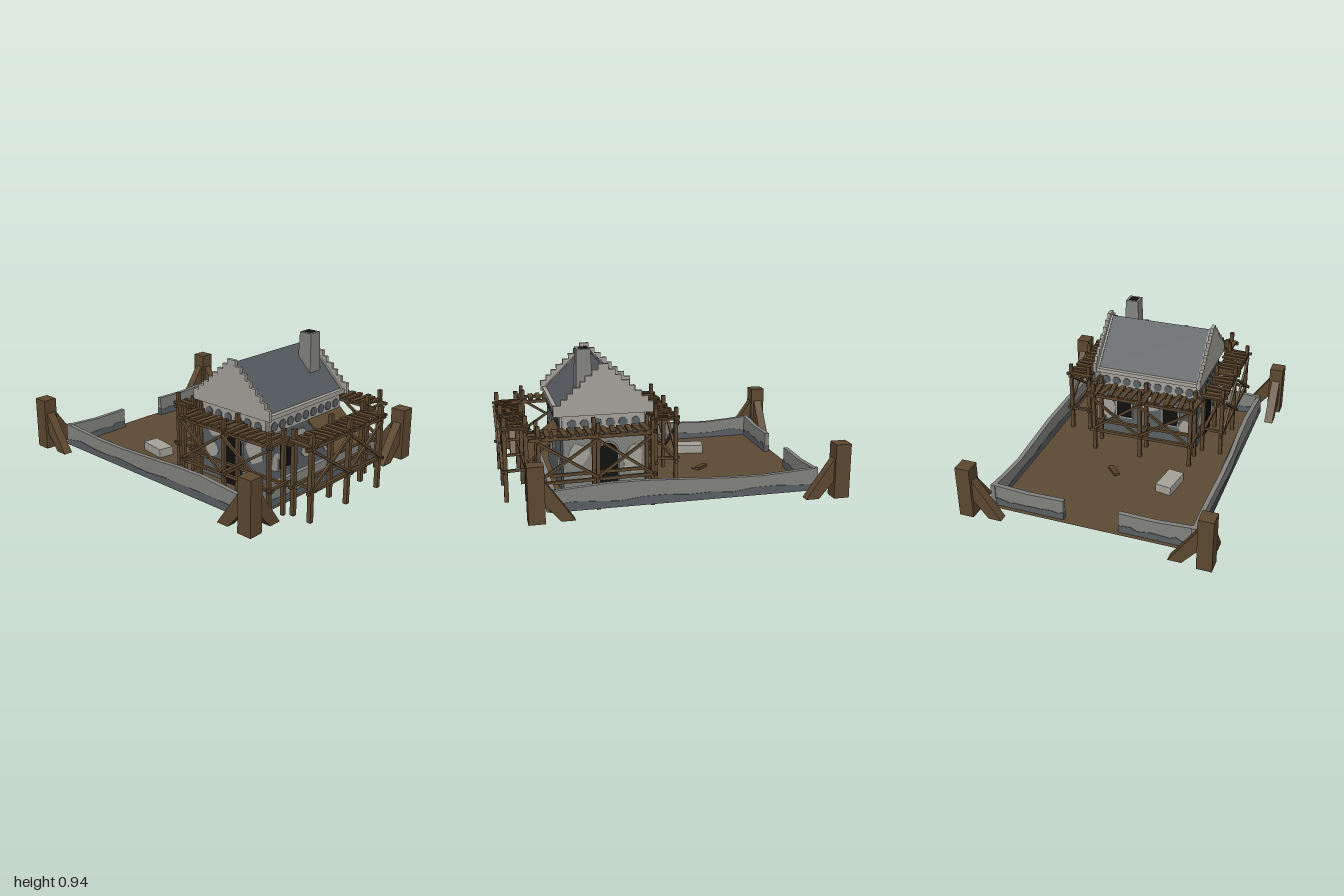
import * as THREE from 'three';

const mat = (name, color, side = THREE.FrontSide) => {
  const m = new THREE.MeshStandardMaterial({ color, side });
  m.name = name;
  return m;
};

export function createModel() {
  const root = new THREE.Group();
  const pale = mat('pale stone', 0xa6a39a), grey = mat('grey stone', 0x83847f);
  const slate = mat('dark stone', 0x5b6064), roofMat = mat('roof slate', 0x53585c);
  const timber = mat('timber', 0x5c4830), plankMat = mat('plank wood', 0x57432b);
  const earth = mat('earth', 0x5d4b34, THREE.DoubleSide), black = mat('dark opening', 0x100f0e);

  let seed = 7;
  const rnd = () => ((seed = (seed * 16807) % 2147483647) / 2147483647) - 0.5;
  const group = (name, parent = root) => {
    const g = new THREE.Group();
    g.name = name;
    parent.add(g);
    return g;
  };
  const add = (parent, name, geo, m, x = 0, y = 0, z = 0) => {
    const mesh = new THREE.Mesh(geo, m);
    mesh.name = name;
    mesh.position.set(x, y, z);
    parent.add(mesh);
    return mesh;
  };
  const box = (parent, name, m, w, h, d, x, y, z) => add(parent, name, new THREE.BoxGeometry(w, h, d), m, x, y, z);
  // Square beam running from a to b in the parent's own frame
  const beam = (parent, name, a, b, w, m = timber) => {
    const p = new THREE.Vector3(...a), q = new THREE.Vector3(...b), len = p.distanceTo(q);
    const up = Math.abs(q.y - p.y) > len * 0.9 ? new THREE.Vector3(0, 0, 1) : new THREE.Vector3(0, 1, 0);
    const mesh = box(parent, name, m, w, w, len, 0, 0, 0);
    mesh.position.copy(p).add(q).multiplyScalar(0.5);
    mesh.quaternion.setFromRotationMatrix(new THREE.Matrix4().lookAt(q, p, up));
  };
  const extrude = (pts, depth) => {
    const s = new THREE.Shape(pts.map(p => new THREE.Vector2(...p)));
    return new THREE.ExtrudeGeometry(s, { depth, bevelEnabled: false }).translate(0, 0, -depth / 2);
  };

  // Ground
  const base = 0.091;
  const ground = add(root, 'ground', new THREE.PlaneGeometry(1.65, 1.25), earth, -0.055, base - 0.002, 0);
  ground.rotation.x = -Math.PI / 2;

  // Yard walls: dark lower course with an uneven edge, lighter upper course, gently bent in plan
  function yardWall(name, top, x, z, turned) {
    const g = group(name);
    const a = top[0][0], b = top[top.length - 1][0], n = 12;
    const seam = [];
    for (let i = 0; i <= n; i++) seam.push([a + (b - a) * i / n, 0.134 + rnd() * 0.024]);
    const lower = extrude([[a, base], [b, base], ...[...seam].reverse()], 0.034);
    const upper = extrude([...seam, ...[...top].reverse()], 0.028);
    if (!turned) {
      for (const geo of [lower, upper]) {
        const p = geo.attributes.position;
        for (let i = 0; i < p.count; i++) p.setZ(i, p.getZ(i) + Math.sign(z) * 0.006 * Math.cos((p.getX(i) + 0.1) * 6.6));
      }
    }
    add(g, 'lowerCourse', lower, slate);
    add(g, 'upperCourse', upper, grey);
    g.position.set(x, 0, z);
    if (turned) g.rotation.y = -Math.PI / 2;
  }
  const wavy = [[-0.86, 0.23], [-0.7, 0.217], [-0.52, 0.206], [-0.3, 0.212], [-0.05, 0.226], [0.2, 0.236], [0.4, 0.236], [0.6, 0.225], [0.75, 0.215]];
  yardWall('frontWall', wavy, 0, 0.62);
  yardWall('backWall', wavy, 0, -0.62);
  yardWall('rightWall', [[-0.63, 0.225], [-0.3, 0.232], [0, 0.228], [0.3, 0.232], [0.63, 0.225]], 0.735, 0, true);
  yardWall('gateWallFront', [[0.17, 0.22], [0.4, 0.215], [0.63, 0.23]], -0.84, 0, true);
  yardWall('gateWallBack', [[-0.63, 0.23], [-0.4, 0.215], [-0.17, 0.22]], -0.84, 0, true);

  // Corner posts with two braces each, pointing inwards
  for (const [x, z] of [[-0.953, 0.722], [0.855, 0.722], [-0.953, -0.73], [0.84, -0.73]]) {
    const g = group('cornerPost');
    g.position.set(x, 0, z);
    box(g, 'post', timber, 0.094, 0.33, 0.09, 0, 0.245, 0);
    const sx = -Math.sign(x), sz = -Math.sign(z);
    for (const angle of [sx > 0 ? 0 : Math.PI, sz > 0 ? -Math.PI / 2 : Math.PI / 2]) {
      const brace = add(g, 'brace', extrude([[0.04, 0.19], [0.135, 0.08], [0.215, 0.08], [0.04, 0.33]], 0.056), timber);
      brace.rotation.y = angle;
    }
  }

  // House body
  const house = group('house');
  house.position.set(0.385, 0, 0.008);
  box(house, 'lowerWalls', slate, 0.52, 0.383, 0.67, 0, 0.2835, 0);
  box(house, 'upperBand', pale, 0.5, 0.1, 0.685, 0, 0.523, 0);
  box(house, 'upperBandSides', pale, 0.525, 0.1, 0.66, 0, 0.523, 0);
  box(house, 'rearButtress', grey, 0.5, 0.33, 0.03, 0, 0.257, -0.345);

  // Details of one face: patches, openings, row of scallops
  const arch = (w, h) => {
    const s = new THREE.Shape();
    s.moveTo(-w / 2, 0);
    s.lineTo(w / 2, 0);
    s.lineTo(w / 2, h - w / 2);
    s.absarc(0, h - w / 2, w / 2, 0, Math.PI);
    s.closePath();
    return new THREE.ExtrudeGeometry(s, { depth: 0.006, bevelEnabled: false, curveSegments: 8 });
  };
  function face(name, angle, dist, upper, width, openings, patches) {
    const g = group(name, house);
    g.rotation.y = angle;
    for (const [x, y, w, h] of patches) {
      const pts = [];
      for (let i = 0; i < 10; i++) {
        const t = i / 10 * Math.PI * 2;
        pts.push([x + Math.cos(t) * w * (0.5 + rnd() * 0.2), y + Math.sin(t) * h * (0.5 + rnd() * 0.2)]);
      }
      add(g, 'plasterPatch', extrude(pts, 0.006), pale, 0, 0, dist + 0.002);
    }
    for (const [x, y, w, h, square] of openings) {
      if (square) {
        box(g, 'frame', pale, w + 0.02, h + 0.02, 0.008, x, y + h / 2, dist + 0.004);
        box(g, 'opening', black, w, h, 0.008, x, y + h / 2, dist + 0.008);
      } else {
        add(g, 'archFrame', arch(w + 0.02, h + 0.01), grey, x, y, dist + 0.002);
        add(g, 'archOpening', arch(w, h), black, x, y, dist + 0.006);
      }
    }
    const n = Math.round(width / 0.075);
    for (let i = 0; i < n; i++) {
      const disc = add(g, 'scallop', new THREE.CylinderGeometry(0.028, 0.028, 0.008, 10), slate, (i + 0.5 - n / 2) * width / n, 0.511, upper + 0.001);
      disc.rotation.x = Math.PI / 2;
    }
  }
  face('frontFace', 0, 0.335, 0.3425, 0.46, [[0.01, base, 0.115, 0.325]],
    [[-0.15, 0.41, 0.14, 0.1], [-0.17, 0.27, 0.1, 0.1], [0.17, 0.36, 0.13, 0.19], [0.12, 0.19, 0.1, 0.08]]);
  face('backFace', Math.PI, 0.36, 0.3425, 0.46, [[0.02, base, 0.115, 0.3]],
    [[-0.16, 0.33, 0.12, 0.13], [0.17, 0.28, 0.11, 0.17]]);
  face('rightFace', Math.PI / 2, 0.26, 0.2625, 0.64, [[-0.18, 0.235, 0.11, 0.155, true]],
    [[-0.06, 0.4, 0.14, 0.08], [-0.26, 0.29, 0.1, 0.14], [0.02, 0.28, 0.09, 0.1], [0.25, 0.26, 0.12, 0.1]]);
  face('leftFace', -Math.PI / 2, 0.26, 0.2625, 0.64, [[0.16, 0.25, 0.1, 0.14, true], [-0.16, 0.25, 0.1, 0.14, true]],
    [[0, 0.38, 0.16, 0.12], [-0.27, 0.3, 0.09, 0.15], [0.27, 0.24, 0.1, 0.12]]);

  // Roof, trims and stepped gables
  add(house, 'roof', extrude([[-0.282, 0.573], [0.282, 0.573], [0, 0.85]], 0.69), roofMat);
  for (const s of [-1, 1]) {
    box(house, 'eaveTrim', pale, 0.026, 0.026, 0.69, s * 0.274, 0.58, 0);
    for (const e of [-1, 1]) beam(house, 'vergeTrim', [e * 0.274, 0.58, s * 0.337], [0, 0.847, s * 0.337], 0.014, pale);
    const gable = group('steppedGable', house);
    const rows = 8;
    for (let i = 0; i < rows; i++) {
      const y0 = i ? 0.632 + (i - 1) * 0.034 : 0.565, y1 = 0.632 + i * 0.034;
      box(gable, 'gableStep', pale, 0.6 - i * 0.077, y1 - y0, 0.022, rnd() * 0.012, (y0 + y1) / 2, s * 0.353);
    }
  }

  // Tapered chimney with a dark flue
  const chimney = group('chimney');
  const stack = add(chimney, 'stack', new THREE.CylinderGeometry(0.06, 0.07, 0.24, 4, 1).rotateY(Math.PI / 4).toNonIndexed(), grey, 0.487, 0.823, -0.213);
  stack.geometry.computeVertexNormals();
  box(chimney, 'flue', black, 0.056, 0.004, 0.054, 0.484, 0.943, -0.213);

  // Sloped lean-to roof at the side
  add(root, 'leanToRoof', extrude([[0.64, 0.475], [0.64, 0.46], [0.84, 0.29], [0.84, 0.305]], 0.32), timber, 0, 0, -0.178);

  // Scaffold run along local x; the outer side is local +z
  function scaffold(name, x, z, angle, stations, len, w) {
    const g = group(name);
    g.position.set(x, 0, z);
    g.rotation.y = angle;
    const rows = [-0.062, 0.062], first = stations[0], last = stations[stations.length - 1];
    for (const r of rows) {
      for (const s of stations) {
        beam(g, 'pole', [s + rnd() * 0.012, 0.048, r], [s + rnd() * 0.012, 0.568, r], w);
      }
      beam(g, 'topRail', [first - 0.05, 0.488, r], [last + 0.03, 0.486 + rnd() * 0.015, r], 0.018);
      beam(g, 'lowRail', [first - 0.03, 0.228, r], [last + 0.03, 0.238, r], 0.018);
    }
    for (const s of stations) {
      for (const y of [0.245, 0.505]) beam(g, 'tie', [s + 0.014, y + 0.004, -0.09], [s + 0.014, y - 0.004, 0.09], 0.016);
    }
    for (let i = 1; i < stations.length; i++) {
      const a = stations[i - 1], b = stations[i];
      beam(g, 'crossBrace', [a, 0.25, 0.072], [b, 0.475, 0.072], 0.015);
      beam(g, 'crossBrace', [a, 0.475, 0.08], [b, 0.25, 0.08], 0.015);
    }
    const n = Math.round(len / 0.047);
    for (let i = 0; i < n; i++) {
      const p = box(g, 'plank', plankMat, 0.031, 0.012, 0.153 + rnd() * 0.02, (i + 0.5 - n / 2) * len / n, 0.505 + rnd() * 0.006, rnd() * 0.014);
      p.rotation.set(rnd() * 0.06, rnd() * 0.24, rnd() * 0.1);
    }
  }
  scaffold('frontScaffold', 0.455, 0.447, 0, [-0.315, 0.005, 0.345], 0.72, 0.022);
  scaffold('backScaffold', 0.455, -0.472, Math.PI, [-0.345, -0.005, 0.315], 0.72, 0.022);
  scaffold('leftScaffold', -0.005, 0.025, -Math.PI / 2, [-0.315, -0.005, 0.33], 0.75, 0.022);
  scaffold('rightScaffold', 0.908, 0.025, Math.PI / 2, [-0.33, 0.005, 0.315], 0.75, 0.026);

  // Loose stone blocks, one on the ground and the others below it
  for (const [x, y, z, w, d, turn] of [
    [-0.32, 0.11, 0.31, 0.185, 0.1, -0.16], [-0.345, 0.035, 0.35, 0.2, 0.16, -0.2],
    [-0.115, 0.035, 0.315, 0.14, 0.12, 0.3], [-0.44, 0.035, -0.32, 0.14, 0.14, 0.25], [-0.59, 0.035, -0.15, 0.13, 0.13, -0.2],
  ]) box(root, 'stoneBlock', pale, w, 0.068, d, x, y, z).rotation.y = turn;

  // Broken planks lying about
  const debris = group('brokenPlanks');
  box(debris, 'board', plankMat, 0.1, 0.016, 0.034, -0.295, 0.1, -0.07).rotation.y = 0.75;
  beam(debris, 'plank', [-0.54, 0.045, 0.05], [-0.24, 0.085, -0.07], 0.018);
  beam(debris, 'plank', [-0.5, 0.05, 0.15], [-0.27, 0.08, -0.02], 0.018);
  beam(debris, 'plank', [-0.46, 0.055, -0.05], [-0.36, 0.06, 0.14], 0.018);
  return root;
}
